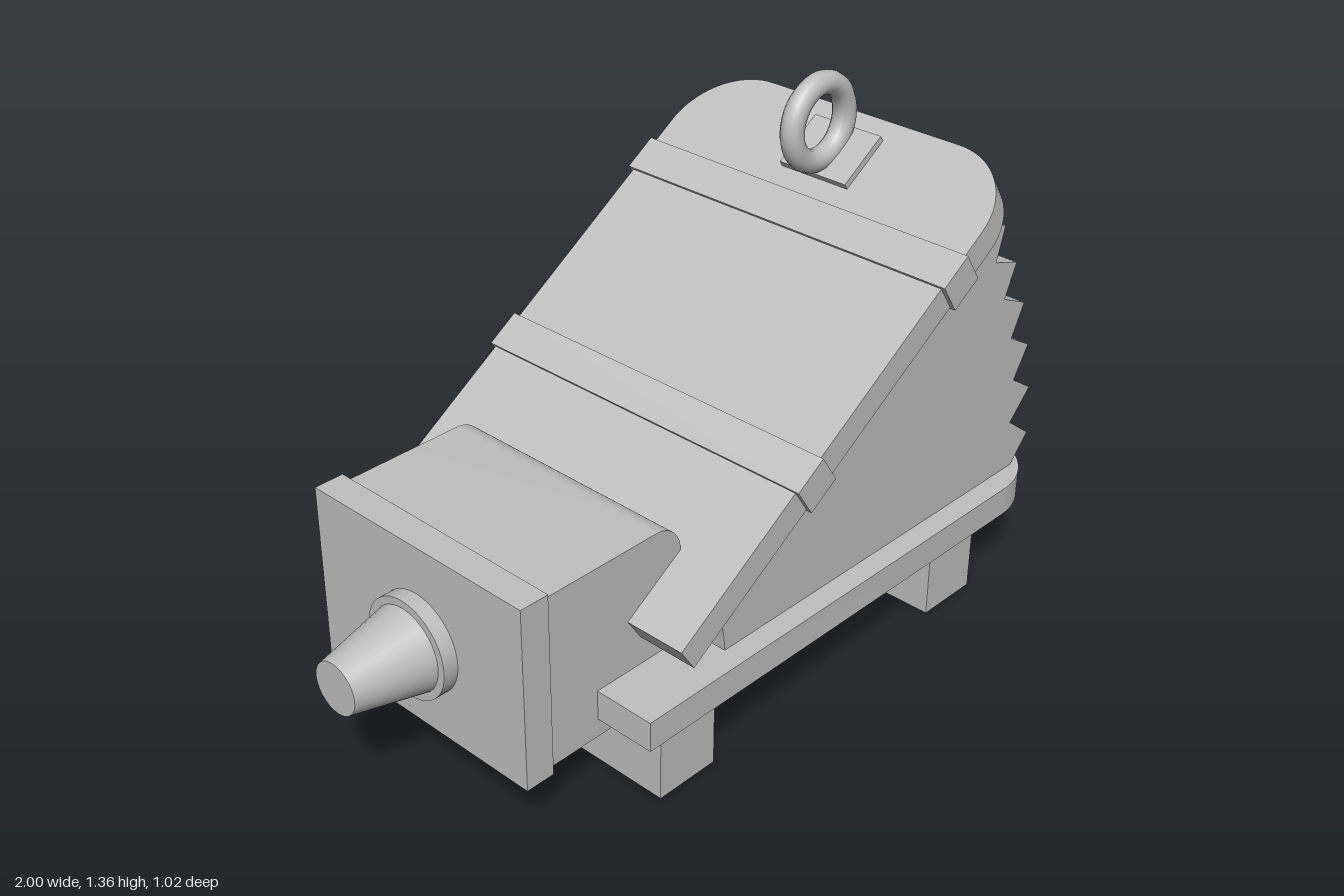
import * as THREE from 'three';
import { toCreasedNormals } from 'three/addons/utils/BufferGeometryUtils.js';

export function createModel() {
  const model = new THREE.Group();
  const grey = new THREE.MeshStandardMaterial({ color: 0xbfbfbf });
  grey.name = 'plain grey';

  const add = (name, geometry, x = 0, y = 0, z = 0, parent = model) => {
    const mesh = new THREE.Mesh(geometry, grey);
    mesh.name = name;
    mesh.position.set(x, y, z);
    parent.add(mesh);
    return mesh;
  };
  const box = (w, h, d) => new THREE.BoxGeometry(w, h, d);
  const extrude = (shape, depth) => toCreasedNormals(
    new THREE.ExtrudeGeometry(shape, { depth, bevelEnabled: false, curveSegments: 10 }), 0.5);

  // Outline with its two +x corners rounded
  const roundedEnd = (x0, x1, y0, y1, r) => {
    const s = new THREE.Shape();
    s.moveTo(x0, y0);
    s.lineTo(x1 - r, y0);
    s.absarc(x1 - r, y0 + r, r, -Math.PI / 2, 0, false);
    s.lineTo(x1, y1 - r);
    s.absarc(x1 - r, y1 - r, r, 0, Math.PI / 2, false);
    s.lineTo(x0, y1);
    s.closePath();
    return s;
  };
  // Flat board lying on y = 0
  const board = (x0, x1, thickness) =>
    extrude(roundedEnd(x0, x1, -0.5, 0.5, 0.2), thickness).rotateX(-Math.PI / 2);

  // Base board and feet
  add('baseBoard', board(-0.53, 1, 0.08), 0, 0.2, 0);
  for (const x of [-0.37, 0.63]) add('foot', box(0.18, 0.2, 0.93), x, 0.1, 0);

  // Pleated bellows
  const bellows = new THREE.Shape();
  bellows.moveTo(-0.22, 0.28);
  const pleats = [
    [0.91, 0.28], [0.975, 0.352], [0.888, 0.418], [0.963, 0.495], [0.885, 0.547],
    [0.936, 0.633], [0.855, 0.68], [0.898, 0.768], [0.807, 0.81], [0.845, 0.9],
    [0.754, 0.93], [0.78, 1.023], [0.69, 1.052], [0.66, 1.06],
  ];
  for (const [x, y] of pleats) bellows.lineTo(x, y);
  bellows.lineTo(-0.27, 0.45);
  bellows.quadraticCurveTo(-0.225, 0.37, -0.22, 0.28);
  add('bellows', extrude(bellows, 0.88), 0, 0, -0.44);

  // Sloping lid with straps and the ring's mounting tab
  const lid = new THREE.Group();
  lid.name = 'lid';
  lid.position.set(-0.39, 0.355, 0);
  lid.rotation.z = 0.58;
  model.add(lid);
  add('lidBoard', board(0, 1.423, 0.076), 0, 0, 0, lid);
  for (const x of [0.495, 1.097]) add('strap', box(0.1, 0.09, 1.025), x, 0.039, 0, lid);
  add('ringTab', box(0.16, 0.04, 0.21), 1.286, 0.074, 0, lid);

  // Lifting ring
  add('ring', new THREE.TorusGeometry(0.1, 0.031, 12, 40), 0.585, 1.225, 0);

  // Nozzle housing, end plate, collar and tapered nozzle
  add('housing', extrude(roundedEnd(-0.69, -0.26, 0.15, 0.612, 0.08), 0.67), 0, 0, -0.335);
  add('endPlate', box(0.08, 0.49, 0.69), -0.72, 0.382, 0);
  const turned = (rTip, rBase, length) =>
    new THREE.CylinderGeometry(rTip, rBase, length, 40).rotateZ(Math.PI / 2);
  add('collar', turned(0.13, 0.13, 0.05), -0.775, 0.37, 0);
  add('nozzle', turned(0.067, 0.112, 0.21), -0.895, 0.37, 0);

  return model;
}
